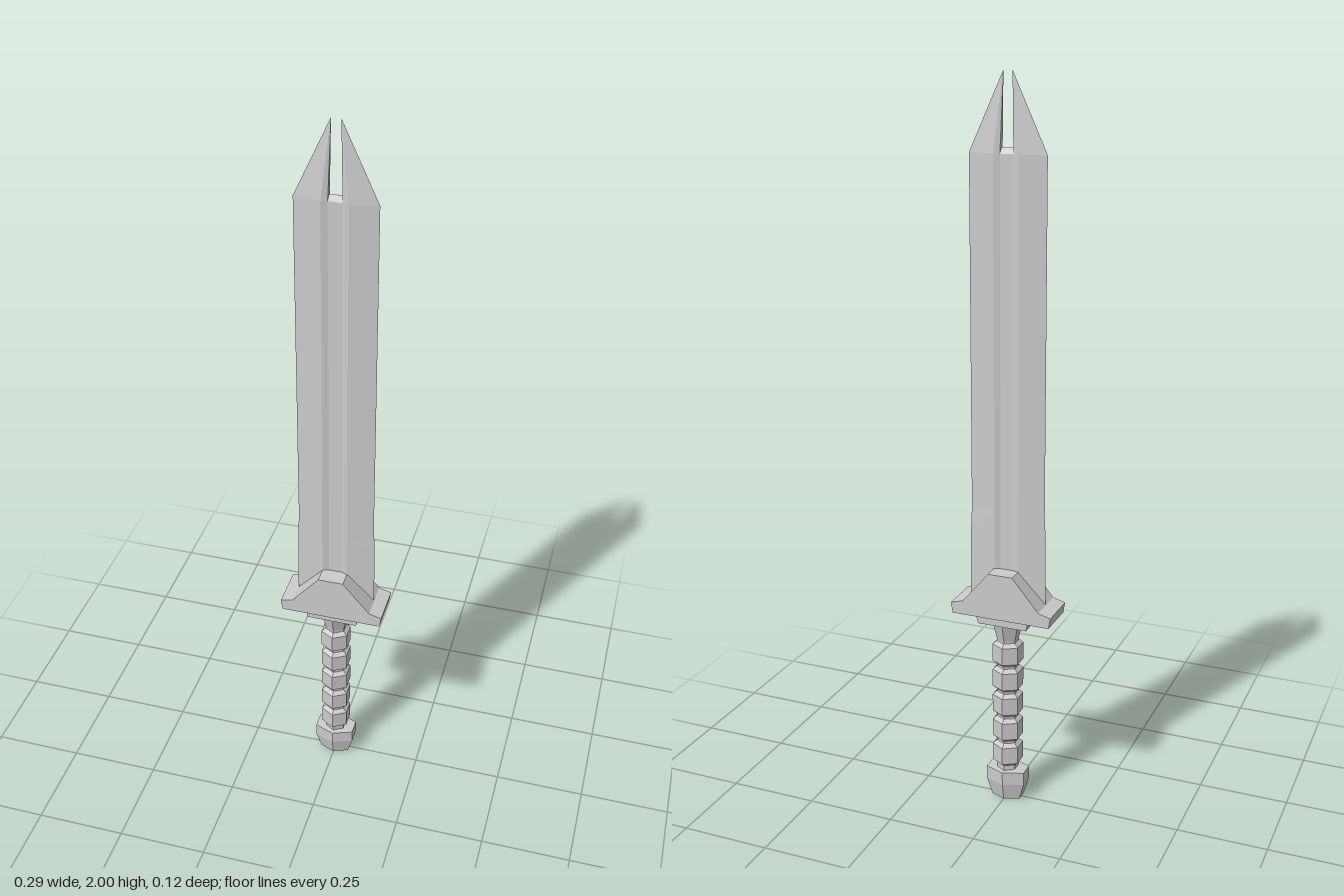
import * as THREE from 'three';

const material = new THREE.MeshStandardMaterial({ color: 0xcccccc, flatShading: true, side: THREE.DoubleSide });

// Skin stacked rings; each ring is { y, points: [[x, z], ...] } running from +z towards +x
function loft(rings) {
  const n = rings[0].points.length;
  const positions = [], index = [];
  for (const { y, points } of rings) for (const [x, z] of points) positions.push(x, y, z);
  for (let r = 0; r < rings.length - 1; r++) {
    for (let i = 0; i < n; i++) {
      const a = r * n + i, b = r * n + (i + 1) % n;
      index.push(a, b, b + n, a, b + n, a + n);
    }
  }
  const geometry = new THREE.BufferGeometry();
  geometry.setAttribute('position', new THREE.Float32BufferAttribute(positions, 3));
  geometry.setIndex(index);
  geometry.computeVertexNormals();
  return geometry;
}

// Six-sided turned shape from [radius, y] pairs
function turned(profile) {
  return new THREE.LatheGeometry(profile.map(([r, y]) => new THREE.Vector2(r, y)), 6);
}

// Front outline given for +x only, mirrored and extruded through z
function slab(outline, depth) {
  const mirrored = outline.map(([x, y]) => [-x, y]).reverse();
  const shape = new THREE.Shape([...outline, ...mirrored].map(([x, y]) => new THREE.Vector2(x, y)));
  return new THREE.ExtrudeGeometry(shape, { depth, bevelEnabled: false }).translate(0, 0, -depth / 2);
}

export function createModel() {
  const sword = new THREE.Group();
  sword.name = 'sword';
  const add = (name, geometry) => {
    const mesh = new THREE.Mesh(geometry, material);
    mesh.name = name;
    sword.add(mesh);
    return mesh;
  };

  // Blade: sharp edges, two ridges and a shallow central groove
  const bladeSection = (w) => {
    const front = [[-0.018, 0.009], [0.018, 0.009], [0.034, 0.015], [w, 0]];
    const back = [[0.034, -0.015], [0.018, -0.009], [-0.018, -0.009], [-0.034, -0.015]];
    return [...front, ...back, [-w, 0], [-0.034, 0.015]];
  };
  add('blade', loft([[0.58, 0.11], [0.8, 0.108], [0.86, 0.105], [1.8, 0.105]]
    .map(([y, w]) => ({ y, points: bladeSection(w) }))));

  // Split tip: one prong on each side of the notch
  const prong = [[0.018, 0.009], [0.034, 0.015], [0.105, 0], [0.034, -0.015], [0.018, -0.009]];
  for (const side of [1, -1]) {
    const place = (points) => {
      const placed = points.map(([x, z]) => [side * x, z]);
      return side > 0 ? placed : placed.reverse();
    };
    add(side > 0 ? 'leftProng' : 'rightProng', loft([
      { y: 1.8, points: place(prong) },
      { y: 2, points: place(prong.map(() => [0.012, 0])) },
    ]));
  }

  // Small wedge at the bottom of the notch
  add('notchFloor', loft([
    { y: 1.8, points: [[-0.018, 0.009], [0.018, 0.009], [0.018, -0.009], [-0.018, -0.009]] },
    { y: 1.815, points: [[-0.017, 0], [0.017, 0], [0.017, 0], [-0.017, 0]] },
  ]));

  // Guard and the collar under it
  add('guard', slab([[0.14, 0.565], [0.145, 0.595], [0.11, 0.605], [0.035, 0.695]], 0.116));
  add('collar', slab([[0.07, 0.54], [0.076, 0.565]], 0.09));

  // Grip: thin core with bevelled hexagonal rings
  add('gripCore', turned([[0.03, 0.08], [0.03, 0.54]]));
  add('gripTop', turned([[0, 0.488], [0.03, 0.488], [0.042, 0.535], [0.042, 0.545], [0, 0.545]]));
  for (let i = 0; i < 5; i++) {
    const y = 0.105 + i * 0.077, h = 0.07;
    add('gripRing', turned([[0.031, y], [0.043, y + 0.01], [0.043, y + h - 0.01], [0.031, y + h]]));
  }

  // Pommel, wider across x
  const pommel = add('pommel', turned([[0, 0], [0.032, 0], [0.043, 0.05], [0.043, 0.088], [0, 0.092]]));
  pommel.scale.x = 1.5;

  return sword;
}
